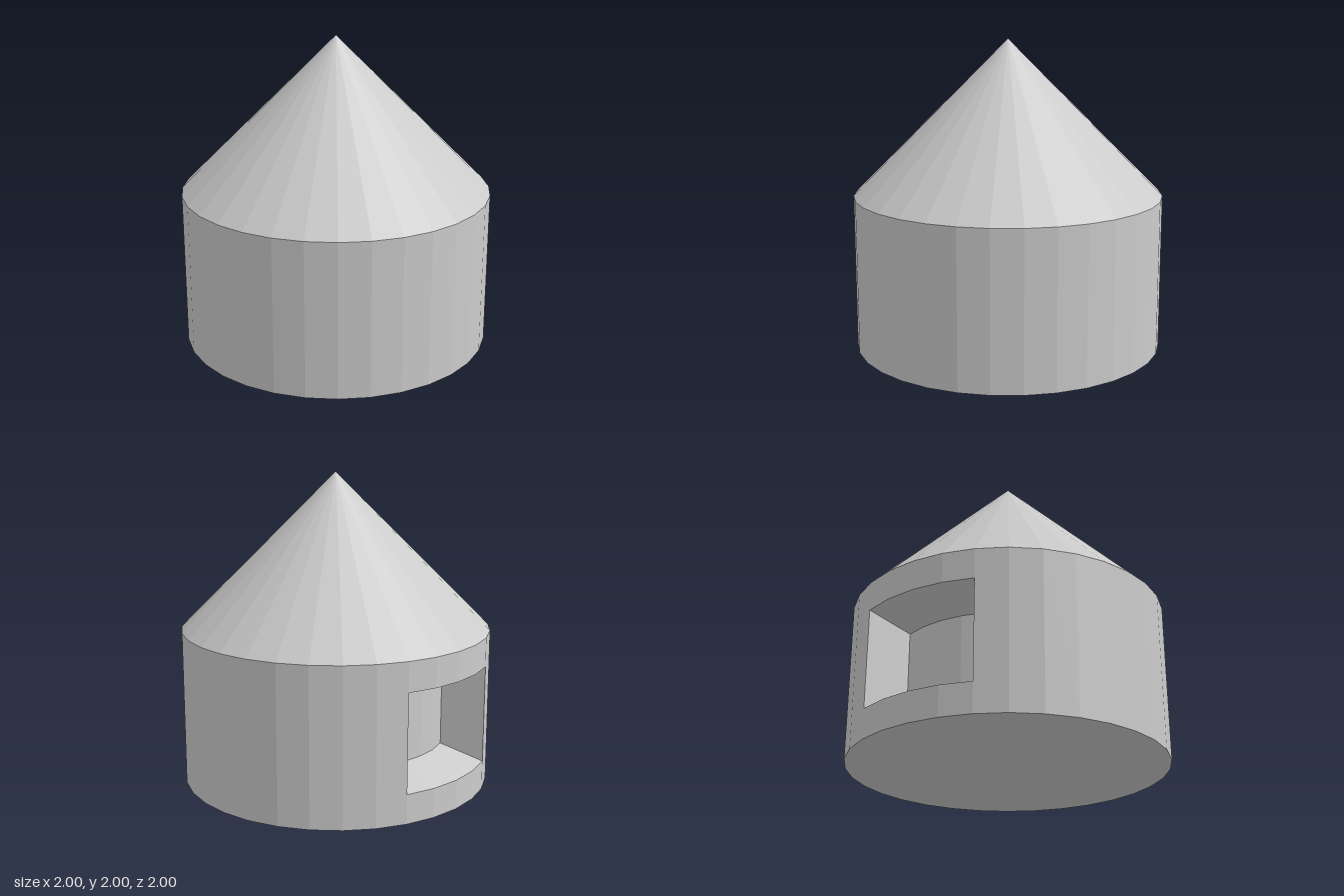
import * as THREE from 'three';

const SIDES = 32;
const STEP = (Math.PI * 2) / SIDES;
const WINDOW_STEPS = 4; // facets taken up by the window at the back
const WINDOW_START = Math.PI - (WINDOW_STEPS / 2) * STEP;
const WINDOW_END = Math.PI + (WINDOW_STEPS / 2) * STEP;

export function createModel() {
  const group = new THREE.Group();
  const material = new THREE.MeshStandardMaterial({ color: 0xcccccc, flatShading: true });
  const thin = material.clone();
  thin.side = THREE.DoubleSide;

  const add = (name, geometry, mat = material) => {
    const mesh = new THREE.Mesh(geometry, mat);
    mesh.name = name;
    group.add(mesh);
    return mesh;
  };
  const points = (list) => list.map(([r, y]) => new THREE.Vector2(r, y));

  // Cross-section of the recess, tapering towards the middle of the drum
  const recess = points([[1, 0.1875], [0.72, 0.275], [0.72, 0.725], [1, 0.8125]]);
  const bottom = new THREE.Vector2(1, 0);
  const top = new THREE.Vector2(1, 1);

  // Plain wall around the drum, then the wall section holding the window
  const plainSteps = SIDES - WINDOW_STEPS;
  add('wall', new THREE.LatheGeometry([bottom, top], plainSteps, WINDOW_END, plainSteps * STEP));
  add('windowWall', new THREE.LatheGeometry([bottom, ...recess, top], WINDOW_STEPS, WINDOW_START, WINDOW_STEPS * STEP));

  // Side faces of the recess
  for (const [name, angle] of [['windowSideLeft', WINDOW_START], ['windowSideRight', WINDOW_END]]) {
    add(name, new THREE.ShapeGeometry(new THREE.Shape(recess)), thin).rotation.y = angle - Math.PI / 2;
  }

  // Conical roof and flat underside
  add('roof', new THREE.ConeGeometry(1, 1, SIDES, 1, true)).position.y = 1.5;
  add('floor', new THREE.CircleGeometry(1, SIDES)).rotation.x = Math.PI / 2;

  return group;
}
